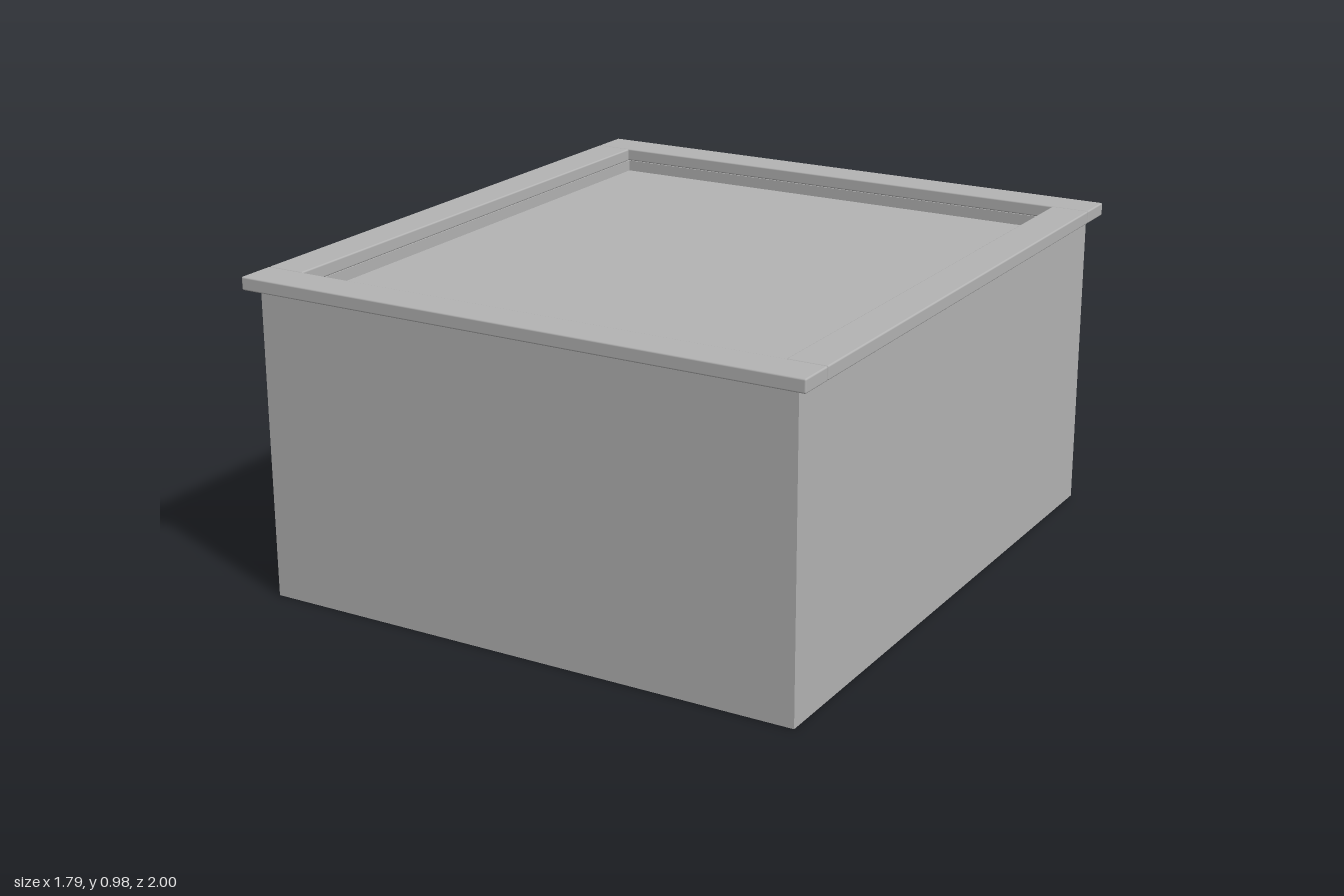
import * as THREE from 'three';
import { RoundedBoxGeometry } from 'three/addons/geometries/RoundedBoxGeometry.js';

export function createModel() {
  const group = new THREE.Group();
  const gray = new THREE.MeshStandardMaterial({ color: 0xb3b3b3 });
  gray.name = 'plain gray';

  const add = (name, geometry, x = 0, y = 0, z = 0) => {
    const mesh = new THREE.Mesh(geometry, gray);
    mesh.name = name;
    mesh.position.set(x, y, z);
    group.add(mesh);
    return mesh;
  };

  // Counter-clockwise or clockwise rectangle outline centred on the origin
  const rectangle = (path, hx, hz) => {
    path.moveTo(-hx, -hz);
    path.lineTo(hx, -hz);
    path.lineTo(hx, hz);
    path.lineTo(-hx, hz);
    path.closePath();
    return path;
  };

  // Four walls, open below
  const rimY = 0.94, rimHeight = 0.04;
  const outline = rectangle(new THREE.Shape(), 0.857, 0.963);
  outline.holes.push(rectangle(new THREE.Path(), 0.775, 0.88));
  const walls = new THREE.ExtrudeGeometry(outline, { depth: rimY, bevelEnabled: false });
  walls.rotateX(-Math.PI / 2);
  add('walls', walls);

  // Recessed panel just under the rim
  add('recessedPanel', new THREE.BoxGeometry(1.55, 0.01, 1.76), 0, 0.9, 0);

  // Overhanging rim: long end planks with side planks fitted between them
  const y = rimY + rimHeight / 2;
  for (const s of [1, -1]) {
    add(s > 0 ? 'frontRimPlank' : 'backRimPlank',
      new RoundedBoxGeometry(1.79, rimHeight, 0.12, 2, 0.005), 0, y, s * 0.94);
    add(s > 0 ? 'leftRimPlank' : 'rightRimPlank',
      new RoundedBoxGeometry(0.12, rimHeight, 1.757, 2, 0.005), s * 0.835, y, 0);
  }
  return group;
}
